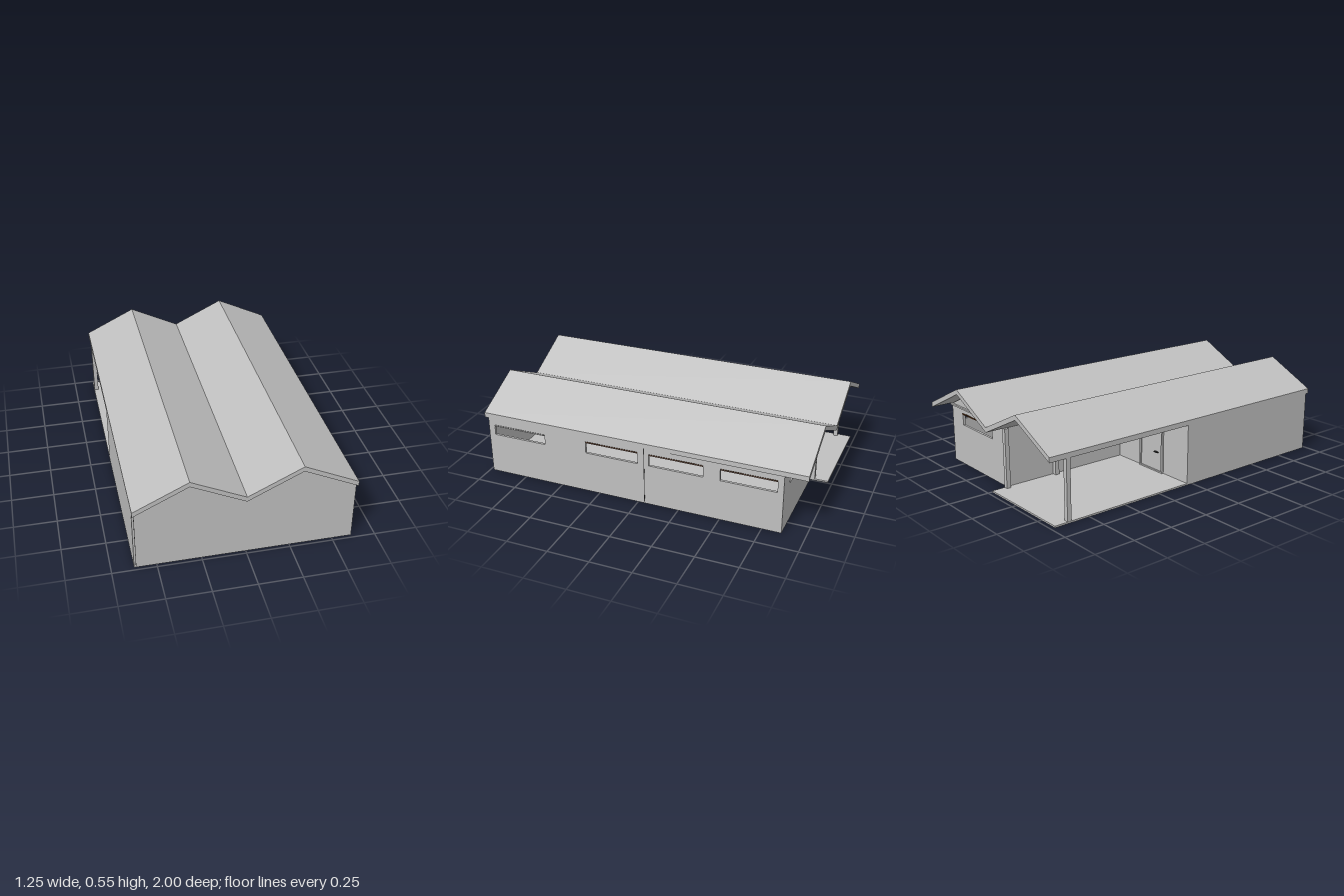
import * as THREE from 'three';

export function createModel() {
  const model = new THREE.Group();
  const mat = (name, color) => {
    const m = new THREE.MeshStandardMaterial({ color });
    m.name = name;
    return m;
  };
  const grey = mat('plain grey', 0xc0c0c0);
  const brown = mat('brown wood', 0x5a3010);
  const dark = mat('dark metal', 0x303030);

  const T = 0.015;                       // wall thickness
  const LEFT = -0.625, MID = -0.005, RIGHT = 0.615;
  const FRONT = 0.98, BACK = -0.865, PORCH = -0.04;
  const EAVE = 0.365, RIDGE = 0.515;

  const add = (name, geo, material = grey, parent = model) => {
    const mesh = new THREE.Mesh(geo, material);
    mesh.name = name;
    parent.add(mesh);
    return mesh;
  };
  // box given by its minimum and maximum corners
  const block = (name, a, b, material) => {
    const m = add(name, new THREE.BoxGeometry(b[0] - a[0], b[1] - a[1], b[2] - a[2]), material);
    m.position.set((a[0] + b[0]) / 2, (a[1] + b[1]) / 2, (a[2] + b[2]) / 2);
    return m;
  };
  const outline = pts => new THREE.Shape(pts.map(p => new THREE.Vector2(...p)));
  const extrude = (pts, depth, holes = []) => {
    const s = outline(pts);
    for (const [u0, v0, u1, v1] of holes)
      s.holes.push(new THREE.Path([[u0, v0], [u0, v1], [u1, v1], [u1, v0]].map(p => new THREE.Vector2(...p))));
    return new THREE.ExtrudeGeometry(s, { depth, bevelEnabled: false });
  };

  // folded double-gable roof
  const under = [[LEFT, EAVE], [-0.315, RIDGE], [MID, EAVE], [0.305, RIDGE], [0.621, EAVE]];
  const over = under.map(([x, y]) => [x, y + 0.03]).reverse();
  add('roof', extrude([...under, ...over], 2)).position.z = -1;

  // floor slabs
  block('porchBayFloor', [LEFT, 0, -0.975], [MID, 0.01, FRONT]);
  block('mainBayFloor', [MID, 0, BACK], [RIGHT, 0.01, FRONT]);

  // gable walls, z is the rear face
  const gable = (name, x0, x1, z, holes) => {
    const peak = x0 < MID ? -0.315 : 0.305;
    add(name, extrude([[x0, 0], [x1, 0], [x1, EAVE], [peak, RIDGE], [x0, EAVE]], T, holes)).position.z = z;
  };
  gable('frontWallPorchBay', LEFT, MID, FRONT - T);
  gable('frontWallMainBay', MID, RIGHT, FRONT - T);
  gable('porchWall', LEFT, MID, PORCH);
  gable('backWall', MID, RIGHT, BACK, [[0.155, 0.255, 0.49, 0.33]]);
  block('backTieBeam', [MID, 0.358, BACK - 0.012], [RIGHT, 0.368, BACK]);

  // long walls
  block('porchSideWall', [LEFT, 0, PORCH], [LEFT + T, EAVE, FRONT]);
  block('innerWall', [MID, 0, BACK], [MID + T, EAVE, PORCH]);
  const windows = [[0.60, 0.94, 0.32], [0, 0.33, 0.33], [-0.40, -0.07, 0.33], [-0.83, -0.50, 0.33]];
  const side = add('windowSideWall', extrude(
    [[BACK, 0], [FRONT, 0], [FRONT, EAVE], [BACK, EAVE]], T,
    windows.map(([z0, z1, top]) => [z0, 0.255, z1, top])));
  side.rotation.y = -Math.PI / 2;
  side.position.x = RIGHT;

  // top-hung sashes tilted inward
  const sash = (name, width, top, material) => {
    const g = new THREE.Group();
    g.name = name;
    const leaf = add('sashLeaf', new THREE.BoxGeometry(0.076, 0.006, width), material, g);
    leaf.rotation.z = 0.47;
    leaf.position.set(-0.026, top - 0.018, 0);
    model.add(g);
    return g;
  };
  windows.forEach(([z0, z1, top], i) => {
    sash('sideSash', z1 - z0 - 0.004, top, i ? brown : grey).position.set(RIGHT, 0, (z0 + z1) / 2);
  });
  const rear = sash('backSash', 0.331, 0.33, brown);
  rear.rotation.y = Math.PI / 2;
  rear.position.set(0.3225, 0, BACK);

  // porch posts
  for (const [x, z] of [[-0.61, -0.88], [-0.018, -0.88], [-0.018, -0.54]])
    block('porchPost', [x - 0.013, 0.01, z - 0.013], [x + 0.013, EAVE + 0.004, z + 0.013]);

  // porch door with frame, threshold and handle
  const d0 = -0.41, d1 = -0.215, zf = PORCH - 0.012;
  block('doorLeaf', [d0, 0.01, PORCH - 0.004], [d1, 0.3, PORCH]);
  block('doorJamb', [d0 - 0.006, 0.01, zf], [d0 + 0.006, 0.31, PORCH]);
  block('doorJamb', [d1 - 0.006, 0.01, zf], [d1 + 0.006, 0.31, PORCH]);
  block('doorHead', [d0, 0.298, zf], [d1, 0.31, PORCH]);
  block('doorThreshold', [d0, 0.01, zf], [d1, 0.018, PORCH]);
  block('doorHandle', [-0.375, 0.13, PORCH - 0.016], [-0.345, 0.136, PORCH - 0.004], dark);

  // wall joints
  block('sideJoint', [RIGHT, 0.01, -0.042], [RIGHT + 0.001, EAVE, -0.038], dark);
  block('frontJoint', [-0.615, 0.01, FRONT], [-0.612, EAVE, FRONT + 0.001], dark);

  return model;
}
